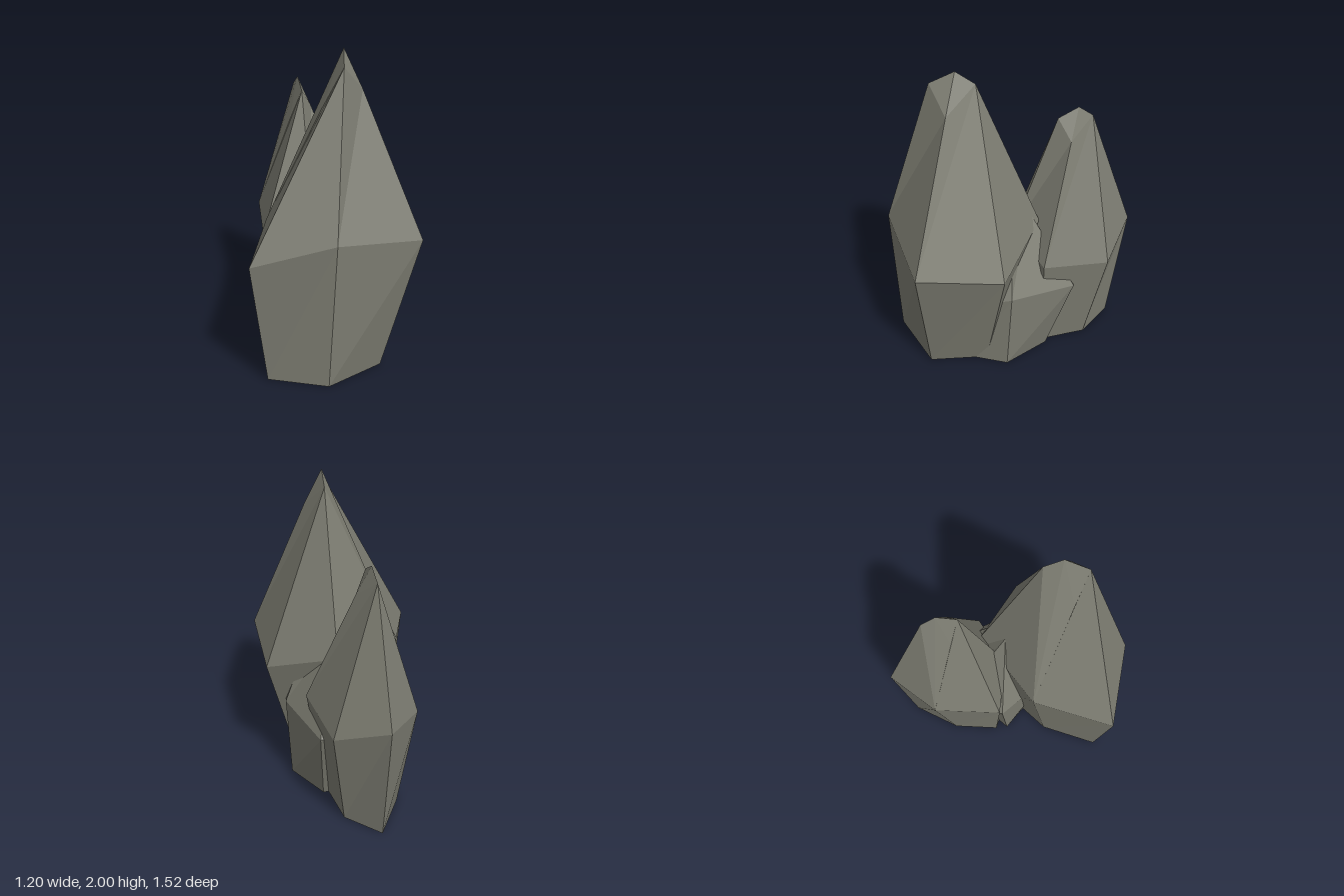
import * as THREE from 'three';

// One rock spire: six-sided base ring, wider middle ring, chipped tip.
const BASE = [[-0.2, 0, 0.09], [-0.48, 0, 0.35], [-0.215, 0, 0.63], [0.2, 0, 0.62], [0.36, 0, 0.29], [0.24, 0, -0.055]];
const MIDDLE = [[-0.23, 0.885, -0.03], [-0.6, 0.81, 0.355], [-0.2, 0.96, 0.67], [0.37, 0.885, 0.765], [0.575, 0.81, 0.285], [0.31, 0.955, -0.12]];
const TIP = [[0, 1.92, 0.44], [0.155, 1.77, 0.42], [0.14, 1.92, 0.22], [-0.06, 1.67, 0.32], [0.088, 2, 0.32]];

// Facets of the tapering upper part (6-11 middle ring, 12-15 shoulders and chips, 16 apex)
const UPPER = [
  6, 7, 12, 6, 12, 15, 15, 12, 16, 7, 8, 12,
  8, 9, 13, 8, 13, 12, 12, 13, 16,
  9, 10, 14, 9, 14, 13, 13, 14, 16, 10, 11, 14,
  11, 6, 14, 14, 6, 16, 16, 6, 15,
];

function spireGeometry(place) {
  const index = [];
  for (let i = 0; i < 6; i++) {
    const j = (i + 1) % 6;
    index.push(i, j, 6 + j, i, 6 + j, 6 + i);
  }
  index.push(...UPPER);
  const points = [...BASE, ...MIDDLE, ...TIP].flatMap(([x, y, z]) => place(x, y, z));
  const indexed = new THREE.BufferGeometry();
  indexed.setAttribute('position', new THREE.Float32BufferAttribute(points, 3));
  indexed.setIndex(index);
  const geometry = indexed.toNonIndexed();
  geometry.computeVertexNormals();
  return geometry;
}

export function createModel() {
  const group = new THREE.Group();
  group.name = 'rockSpires';
  const stone = new THREE.MeshStandardMaterial({ color: 0x7d7d72 });
  stone.name = 'stone';
  stone.flatShading = true;
  stone.side = THREE.DoubleSide; // the rocks are open underneath

  // Each rock is the same spire, turned, squeezed and leaned differently
  const rocks = {
    tallRock: (x, y, z) => [x, y, z],
    mediumRock: (x, y, z) => [
      0.622 * x + 0.066 * z + 0.219 - 0.023 * (y - 0.885),
      0.83 * y,
      -0.152 * x + 0.813 * z - 0.609 - 0.033 * (y - 0.885),
    ],
    lowRock: (x, y, z) => [
      -0.06 * x + 0.75 * z - 0.01,
      0.6 * y,
      -0.77 * x + 0.036 + 0.05 * Math.max(0, y - 0.96),
    ],
  };
  for (const [name, place] of Object.entries(rocks)) {
    const mesh = new THREE.Mesh(spireGeometry(place), stone);
    mesh.name = name;
    group.add(mesh);
  }
  return group;
}
